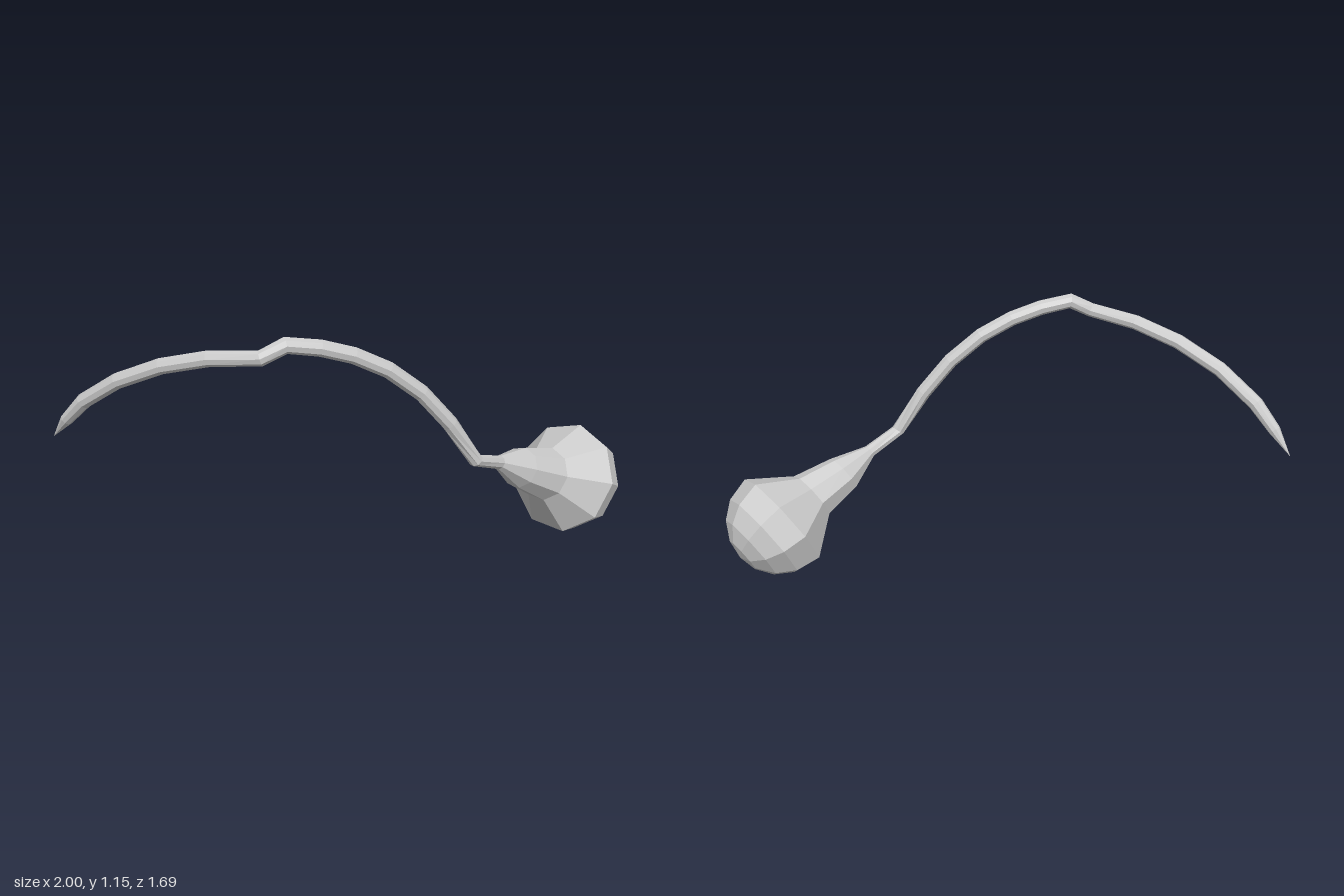
import * as THREE from 'three';

const SIDES = 9;
const UP = new THREE.Vector3(0, 1, 0);

// Flat-shaded skin over rings [x, y, z, radius]; each ring faces its tangent.
function loft(name, rings, tangentAt) {
  const positions = [];
  const indices = [];
  rings.forEach(([x, y, z, r], i) => {
    const t = tangentAt(i);
    const u = UP.clone().addScaledVector(t, -UP.dot(t)).normalize();
    const v = t.clone().cross(u);
    for (let j = 0; j < SIDES; j++) {
      const a = (j / SIDES) * Math.PI * 2;
      const p = new THREE.Vector3(x, y, z)
        .addScaledVector(u, Math.cos(a) * r)
        .addScaledVector(v, Math.sin(a) * r);
      positions.push(p.x, p.y, p.z);
    }
  });
  for (let i = 0; i < rings.length - 1; i++) {
    for (let j = 0; j < SIDES; j++) {
      const k = (j + 1) % SIDES;
      const a = i * SIDES + j, b = i * SIDES + k;
      const c = a + SIDES, d = b + SIDES;
      if (rings[i][3] > 0) indices.push(a, b, c);
      if (rings[i + 1][3] > 0) indices.push(b, d, c);
    }
  }
  let geometry = new THREE.BufferGeometry();
  geometry.setAttribute('position', new THREE.Float32BufferAttribute(positions, 3));
  geometry.setIndex(indices);
  geometry = geometry.toNonIndexed();
  geometry.computeVertexNormals();
  const mesh = new THREE.Mesh(
    geometry,
    new THREE.MeshStandardMaterial({ color: 0xcccccc, flatShading: true })
  );
  mesh.name = name;
  return mesh;
}

export function createModel() {
  const group = new THREE.Group();
  group.name = 'bulbWithTail';

  // Long bent tail, from its pointed tip to the neck
  const tail = [
    [-1.0, 0.595, 0.81, 0],
    [-0.91, 0.695, 0.812, 0.027],
    [-0.81, 0.795, 0.807, 0.033],
    [-0.63, 0.915, 0.788, 0.033],
    [-0.43, 1.005, 0.752, 0.033],
    [-0.23, 1.06, 0.708, 0.033],
    [-0.02, 1.085, 0.655, 0.032],
    [0.05, 1.13, 0.59, 0.034],
    [0.14, 1.105, 0.49, 0.034],
    [0.23, 1.06, 0.39, 0.034],
    [0.325, 0.985, 0.285, 0.034],
    [0.42, 0.87, 0.18, 0.034],
    [0.505, 0.72, 0.085, 0.034],
    [0.585, 0.535, -0.01, 0.03],
  ];
  const neckDir = new THREE.Vector3(0.2, -0.8, -0.57).normalize();
  const at = (i) => new THREE.Vector3(...tail[i].slice(0, 3));
  const tailTangent = (i) => {
    if (i === tail.length - 1) return neckDir;
    const before = i > 0 ? at(i).sub(at(i - 1)).normalize() : new THREE.Vector3();
    return before.add(at(i + 1).sub(at(i)).normalize()).normalize();
  };
  group.add(loft('tail', tail, tailTangent));

  // Flaring neck and round bulb, all rings square to one axis
  const axis = new THREE.Vector3(0.19, -0.45, -0.87).normalize();
  const center = new THREE.Vector3(0.755, 0.252, -0.605);
  const radius = 0.25;
  const head = [
    [0.585, 0.535, -0.01, 0.03],
    [0.623, 0.472, -0.165, 0.03],
    [0.66, 0.4, -0.305, 0.09],
    [0.72, 0.325, -0.45, 0.12],
  ];
  for (const degrees of [0, 26, 48, 70, 90]) {
    const a = THREE.MathUtils.degToRad(degrees);
    const p = center.clone().addScaledVector(axis, Math.sin(a) * radius);
    head.push([p.x, p.y, p.z, degrees === 90 ? 0 : Math.cos(a) * radius]);
  }
  group.add(loft('bulbHead', head, (i) => (i === 0 ? neckDir : axis)));

  return group;
}
